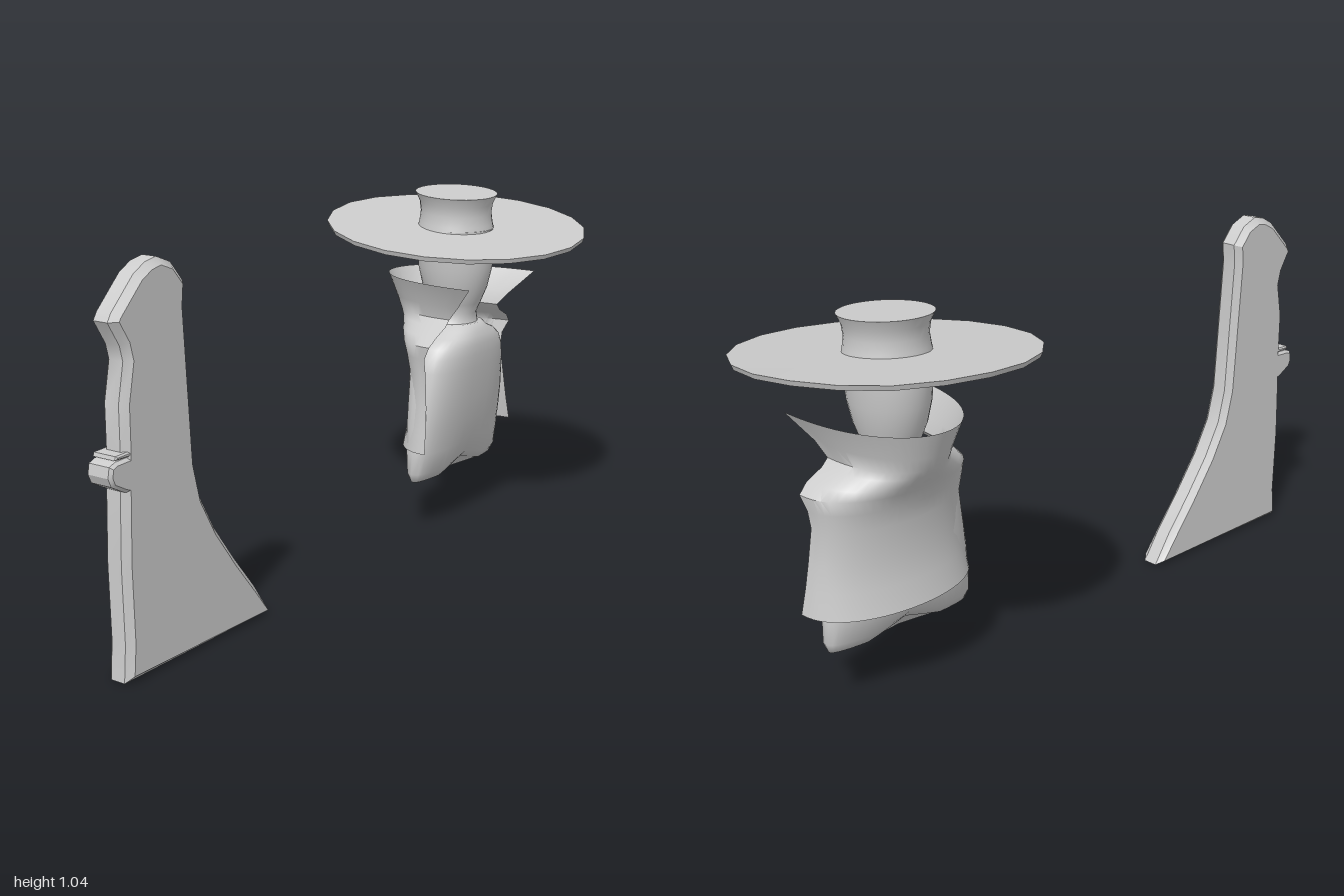
import * as THREE from 'three';
import { toCreasedNormals } from 'three/addons/utils/BufferGeometryUtils.js';

const FIGURE_Z = -0.6;
const grey = new THREE.MeshStandardMaterial({ color: 0xcccccc });
const greySheet = new THREE.MeshStandardMaterial({ color: 0xcccccc, side: THREE.DoubleSide });

function part(name, geometry, material = grey) {
  const mesh = new THREE.Mesh(geometry, material);
  mesh.name = name;
  return mesh;
}

// Skin between rings of equal length, listed from bottom to top
function loft(rings, { closed = true, capped = true, crease = 0.7 } = {}) {
  const n = rings[0].length;
  const pts = rings.flat();
  const index = [];
  for (let r = 0; r < rings.length - 1; r++) {
    for (let i = 0; i < (closed ? n : n - 1); i++) {
      const j = (i + 1) % n;
      const a = r * n + i, b = r * n + j;
      index.push(a, a + n, b, b, a + n, b + n);
    }
  }
  if (capped) {
    for (const [start, top] of [[0, false], [(rings.length - 1) * n, true]]) {
      const centre = new THREE.Vector3();
      for (let i = 0; i < n; i++) centre.addScaledVector(pts[start + i], 1 / n);
      const c = pts.push(centre) - 1;
      for (let i = 0; i < n; i++) {
        const a = start + i, b = start + (i + 1) % n;
        if (top) index.push(a, c, b); else index.push(a, b, c);
      }
    }
  }
  const g = new THREE.BufferGeometry().setFromPoints(pts);
  g.setIndex(index);
  return toCreasedNormals(g, crease);
}

// Rounded ring; power below 1 makes it boxier, lift(x, z) bends it in height
function ring(y, rx, rz, { n = 32, cx = 0, power = 1, lift = () => 0 } = {}) {
  const soft = (v) => Math.sign(v) * Math.abs(v) ** power;
  return Array.from({ length: n }, (_, i) => {
    const t = (i / n) * Math.PI * 2;
    const x = cx + rx * soft(Math.cos(t)), z = rz * soft(Math.sin(t));
    return new THREE.Vector3(x, y + lift(x, z), z);
  });
}

// Side outline (z, y) extruded across x with chamfered edges
function slab(outline, width, bevel) {
  const shape = new THREE.Shape(outline.map(([z, y]) => new THREE.Vector2(-z, y)));
  const g = new THREE.ExtrudeGeometry(shape, {
    depth: width - 2 * bevel, bevelThickness: bevel, bevelSize: bevel,
    bevelOffset: -bevel, bevelSegments: 1,
  });
  g.translate(0, 0, -width / 2 + bevel);
  g.rotateY(Math.PI / 2);
  return toCreasedNormals(g, 0.5);
}

function createMonument() {
  const group = new THREE.Group();
  group.name = 'monument';
  group.add(part('slab', slab([
    [0.39, 0], [0.96, 0], [0.952, 0.1], [0.956, 0.3], [0.95, 0.48], [0.945, 0.58],
    [0.945, 0.7], [0.925, 0.8], [0.935, 0.84], [0.972, 0.9], [0.96, 0.92], [0.88, 1.0],
    [0.84, 1.022], [0.8, 1.03], [0.75, 1.01], [0.708, 0.96], [0.714, 0.9], [0.702, 0.7],
    [0.69, 0.5], [0.665, 0.4], [0.61, 0.3], [0.53, 0.19], [0.45, 0.09],
  ], 0.08, 0.018)));
  group.add(part('ledge', slab([
    [0.92, 0.48], [0.95, 0.49], [0.99, 0.512], [1.0, 0.535], [0.995, 0.562],
    [0.975, 0.57], [0.92, 0.572],
  ], 0.08, 0.008)));
  group.add(part('ledgeLip', slab([
    [0.92, 0.572], [0.978, 0.574], [0.975, 0.584], [0.92, 0.586],
  ], 0.076, 0.004)));
  return group;
}

function createFigure() {
  const group = new THREE.Group();
  group.name = 'figure';

  // Robe: y, front-back radius, half width; the hem rises in the middle
  const robe = [
    [0.15, 0.01, 0.2], [0.158, 0.03, 0.23], [0.185, 0.05, 0.24], [0.25, 0.066, 0.236],
    [0.33, 0.078, 0.23], [0.4, 0.086, 0.222], [0.5, 0.094, 0.208], [0.54, 0.096, 0.197],
    [0.57, 0.095, 0.18], [0.595, 0.09, 0.145], [0.612, 0.08, 0.1], [0.63, 0.068, 0.08],
  ];
  group.add(part('robe', loft(robe.map(([y, rx, rz]) => ring(y, rx, rz, {
    n: 40, power: 0.8, cx: 0.012 * THREE.MathUtils.smoothstep(y, 0.2, 0.5),
    lift: (x, z) => 0.035 * Math.max(0, 1 - Math.abs(z) / 0.12) * Math.max(0, 1 - (y - 0.15) / 0.15),
  })), { crease: 1 })));

  // Head and neck
  const head = [
    [0.6, 0.085, 0.1], [0.63, 0.07, 0.078], [0.66, 0.068, 0.067], [0.69, 0.082, 0.075],
    [0.74, 0.103, 0.092], [0.8, 0.117, 0.104], [0.86, 0.121, 0.11], [0.92, 0.118, 0.115],
  ];
  group.add(part('head', loft(head.map(([y, rx, rz]) => ring(y, rx, rz)))));

  // Cape with flared collar, open towards +x: y, front x, back x, half width
  const cape = [
    [0.26, 0.055, -0.115, 0.26], [0.33, 0.05, -0.1, 0.247], [0.4, 0.045, -0.092, 0.237],
    [0.5, 0.035, -0.098, 0.228], [0.55, 0.035, -0.108, 0.236], [0.59, 0.055, -0.128, 0.243],
    [0.615, 0.062, -0.147, 0.215], [0.64, 0.064, -0.166, 0.165], [0.66, 0.065, -0.18, 0.145],
    [0.7, 0.1, -0.198, 0.157], [0.77, 0.165, -0.225, 0.2],
  ];
  const steps = 28;
  const capeRings = cape.map(([y, front, back, w]) =>
    Array.from({ length: steps + 1 }, (_, i) => {
      const t = (i / steps - 0.5) * Math.PI;
      const depth = Math.max(0, Math.cos(t)) ** 0.85;
      return new THREE.Vector3(front + (back - front) * depth, y, w * Math.sin(t) - 0.008);
    }));
  group.add(part('cape', loft(capeRings, { closed: false, capped: false, crease: 0.9 }), greySheet));

  // Hat: wavy tilted brim and pinched crown
  const tilt = (x, z) => Math.min(-0.09 * x - 0.07 * z, 0.04);
  const brim = [
    [0.905, 0.1], [0.916, 0.39], [0.93, 0.395], [0.927, 0.1],
  ];
  group.add(part('hatBrim', loft(brim.map(([y, r]) =>
    ring(y, r, r, { n: 20, lift: tilt })), { crease: 0.4 })));
  const crown = [
    [0.91, 0.119], [0.94, 0.112], [0.97, 0.108], [1.0, 0.112], [1.028, 0.125],
  ];
  group.add(part('hatCrown', loft(crown.map(([y, r]) =>
    ring(y, r, r, { lift: (x, z) => -0.06 * x - 0.04 * z })))));

  group.position.z = FIGURE_Z;
  return group;
}

export function createModel() {
  const model = new THREE.Group();
  model.name = 'model';
  model.add(createMonument(), createFigure());
  return model;
}
